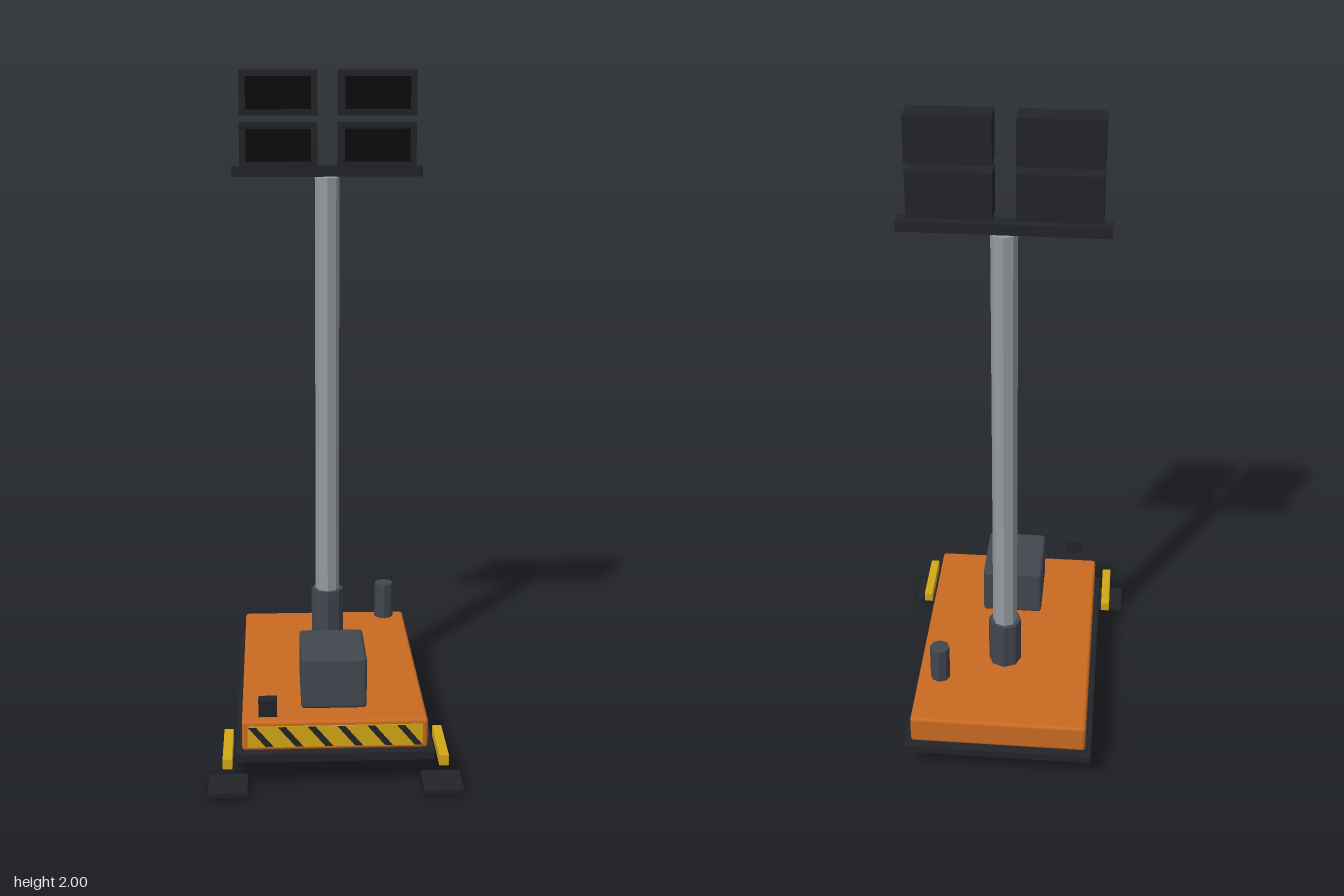
import * as THREE from 'three';
import { RoundedBoxGeometry } from 'three/addons/geometries/RoundedBoxGeometry.js';

const mat = (color, flatShading = false) => new THREE.MeshStandardMaterial({ color, flatShading });
const orange = mat(0xc96a22), yellow = mat(0xd2a716), black = mat(0x222427), lensBlack = mat(0x0c0c0d);
const grey = mat(0x42464e), greyFacet = mat(0x42464e, true), steel = mat(0x949aa1, true), hubGrey = mat(0xa4a8ac);

export function createModel() {
  const model = new THREE.Group();

  const add = (name, geometry, material, parent = model) => {
    const mesh = new THREE.Mesh(geometry, material);
    mesh.name = name;
    parent.add(mesh);
    return mesh;
  };
  // Box given by its limits on each axis, with an optional rounded edge
  const box = (name, material, [x0, x1], [y0, y1], [z0, z1], radius = 0, parent = model) => {
    const size = [x1 - x0, y1 - y0, z1 - z0];
    const geometry = radius ? new RoundedBoxGeometry(...size, 2, radius) : new THREE.BoxGeometry(...size);
    geometry.translate((x0 + x1) / 2, (y0 + y1) / 2, (z0 + z1) / 2);
    return add(name, geometry, material, parent);
  };
  // Upright eight-sided post
  const post = (name, material, radius, y0, y1, x, z) => {
    const geometry = new THREE.CylinderGeometry(radius, radius, y1 - y0, 8);
    add(name, geometry, material).position.set(x, (y0 + y1) / 2, z);
  };

  // Trailer bed
  box('chassis', black, [-0.285, 0.285], [0.08, 0.11], [-0.47, 0.407], 0.004);
  box('body', orange, [-0.266, 0.266], [0.11, 0.2], [-0.45, 0.39], 0.01);
  box('engineCover', grey, [-0.095, 0.095], [0.2, 0.355], [0.086, 0.313], 0.01);
  box('controlBox', black, [-0.218, -0.165], [0.228, 0.277], [0.383, 0.418]);
  post('exhaust', greyFacet, 0.03, 0.245, 0.36, 0.19, -0.298);

  // Hazard panel with slanted stripes on the front
  const panel = new THREE.Group();
  panel.name = 'hazardPanel';
  model.add(panel);
  box('panelPlate', yellow, [-0.25, 0.25], [0.122, 0.186], [0.386, 0.393], 0, panel);
  const stripe = new THREE.Shape([[-0.036, 0.03], [-0.014, 0.03], [0.036, -0.03], [0.014, -0.03]]
    .map(([x, y]) => new THREE.Vector2(x, y)));
  for (let i = 0; i < 6; i++) {
    const geometry = new THREE.ExtrudeGeometry(stripe, { depth: 0.004, bevelEnabled: false });
    add('stripe', geometry, black, panel).position.set(-0.212 + i * 0.085, 0.154, 0.391);
  }

  // Mast
  post('mastSocket', greyFacet, 0.05, 0.235, 0.388, 0, -0.182);
  post('mast', steel, 0.037, 0.25, 1.687, 0, -0.182);
  box('lampBar', black, [-0.285, 0.285], [1.69, 1.72], [-0.208, -0.16]);

  for (const side of [-1, 1]) {
    const span = (a, b) => (side > 0 ? [a, b] : [-b, -a]);

    // Floodlights
    for (const y of [1.72, 1.87]) {
      const lamp = new THREE.Group();
      lamp.name = 'floodlight';
      model.add(lamp);
      box('lampHousing', black, span(0.031, 0.26), [y, y + 0.13], [-0.183, -0.108], 0, lamp);
      box('lampLens', lensBlack, span(0.05, 0.241), [y + 0.018, y + 0.112], [-0.12, -0.1], 0, lamp);
    }

    // Stabiliser arm and foot
    box('stabiliserArm', yellow, span(0.292, 0.32), [0.083, 0.117], [0.258, 0.448], 0.003);
    box('stabiliserFoot', black, span(0.25, 0.363), [0.005, 0.022], [0.353, 0.467], 0.003);

    // Wheel
    const wheel = new THREE.Group();
    wheel.name = 'wheel';
    wheel.position.set(side * 0.238, 0.068, -0.255);
    wheel.rotation.y = Math.PI / 2;
    model.add(wheel);
    add('tyre', new THREE.TorusGeometry(0.046, 0.022, 10, 24), black, wheel);
    add('hub', new THREE.CylinderGeometry(0.04, 0.04, 0.034, 20).rotateX(Math.PI / 2), hubGrey, wheel);
  }

  return model;
}
